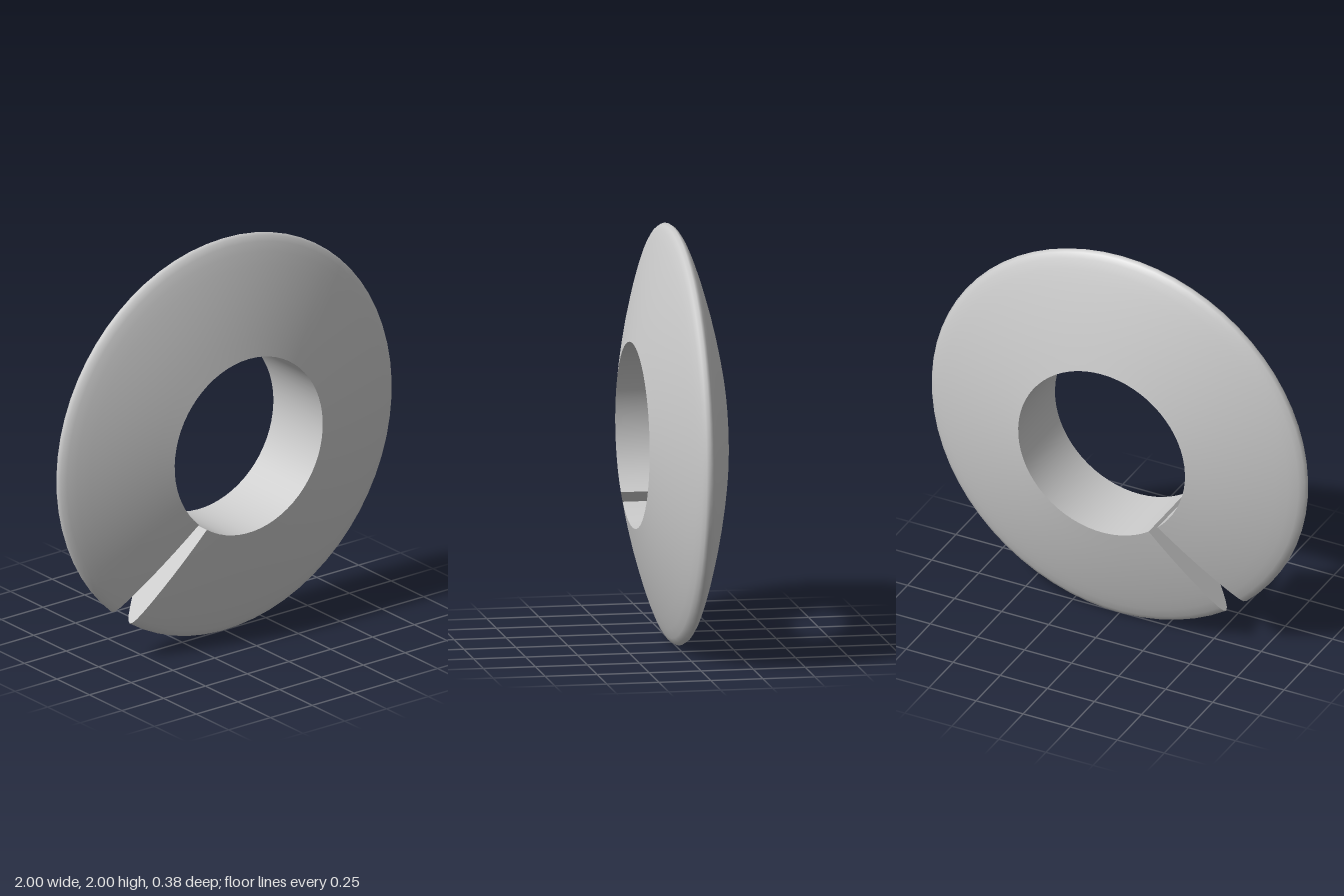
import * as THREE from 'three';

const deg = THREE.MathUtils.degToRad;

export function createModel() {
  const model = new THREE.Group();
  model.name = 'splitRing';
  const material = new THREE.MeshStandardMaterial({ color: 0xcccccc });

  // Ring lies around the y axis first, then is tipped up to face the front
  const ring = new THREE.Group();
  ring.name = 'ring';
  ring.rotation.x = Math.PI / 2;
  ring.position.y = 1;
  model.add(ring);

  const add = (name, geometry) => {
    const mesh = new THREE.Mesh(geometry, material);
    mesh.name = name;
    ring.add(mesh);
    return mesh;
  };

  // Gap at the lower left
  const start = deg(325.6), sweep = deg(352.2), segments = 64;
  const holeRadius = 0.443, halfThickness = 0.19;

  // Lens-shaped section: thick at the hole, thin rounded rim
  const half = [
    [holeRadius, halfThickness], [0.53, 0.17], [0.62, 0.147], [0.71, 0.122],
    [0.79, 0.097], [0.86, 0.074], [0.92, 0.052], [0.965, 0.033], [0.99, 0.017],
  ];
  const profile = [
    ...half.map(([r, h]) => new THREE.Vector2(r, -h)),
    new THREE.Vector2(1, 0),
    ...half.slice().reverse().map(([r, h]) => new THREE.Vector2(r, h)),
  ];
  add('outerSurface', new THREE.LatheGeometry(profile, segments, start, sweep));

  // Straight wall of the hole
  const wall = [
    new THREE.Vector2(holeRadius, halfThickness),
    new THREE.Vector2(holeRadius, -halfThickness),
  ];
  add('holeWall', new THREE.LatheGeometry(wall, segments, start, sweep));

  // Flat faces on either side of the gap
  const section = new THREE.Shape(profile);
  const startFace = add('gapFaceRight', new THREE.ShapeGeometry(section));
  startFace.rotation.y = start - Math.PI / 2;
  const endFace = add('gapFaceLeft', new THREE.ShapeGeometry(section).rotateX(Math.PI));
  endFace.rotation.y = start + sweep - Math.PI / 2;

  return model;
}
